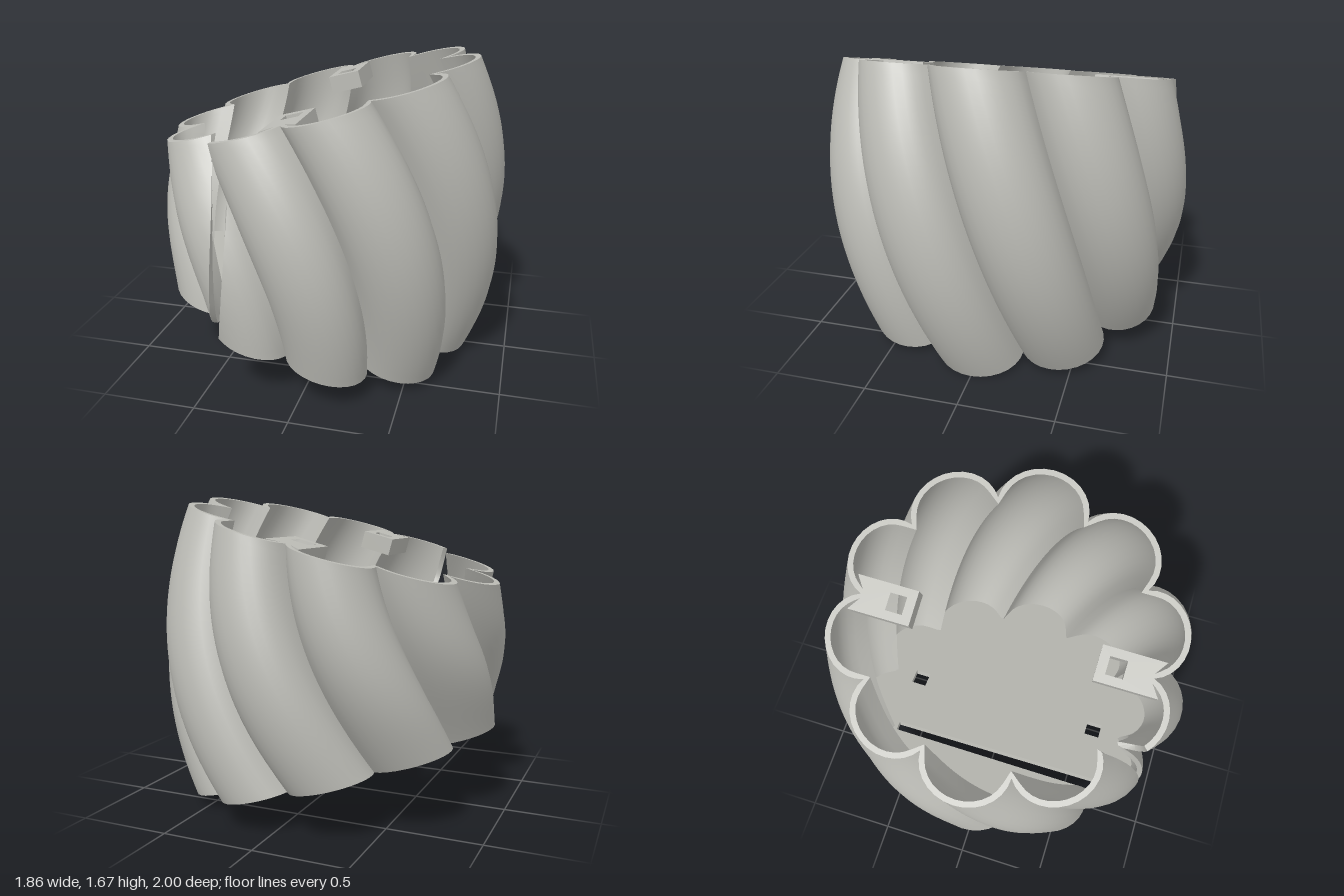
import * as THREE from 'three';
import { toCreasedNormals } from 'three/addons/utils/BufferGeometryUtils.js';

const R = 2.355;              // bend radius of the sweep, axis at x = -R
const Y0 = 0.836;             // height of the mid plane
const HALF = Math.PI / 12;    // half of the swept angle
const STEP = Math.PI / 5;     // ten flutes
const WALL = 0.03;
const SLOT = [-0.405, -0.347];

// Point (u, v) of the fluted section; s counts flutes, k runs -1 (bottom) to 1 (top)
function section(s, k, inset = 0) {
  const g = 1 + 0.088 * Math.cos(k * Math.PI / 2);
  const twist = STEP / 2 + STEP * (k - 1) / 2;
  const cusp = (i) => new THREE.Vector2(
    0.70 * g * Math.cos(i * STEP + twist), 0.765 * g * Math.sin(i * STEP + twist));
  const i = Math.floor(s + 1e-9), f = Math.max(0, s - i);
  const a = cusp(i), b = cusp(i + 1);
  const mid = a.clone().add(b).multiplyScalar(0.5);
  const h = b.clone().sub(a).multiplyScalar(0.5);
  const n = new THREE.Vector2(h.y, -h.x);
  const c = Math.cos(f * Math.PI), d = Math.sin(f * Math.PI);
  const p = mid.addScaledVector(h, -c).addScaledVector(n, 0.886 * d);
  if (inset > 0) {
    // follow the flute normal, turning radial beside the cusps
    const w = Math.min(1, Math.min(f, 1 - f) / 0.08);
    const radial = p.clone().normalize();
    const normal = h.normalize().multiplyScalar(-c).addScaledVector(n.normalize(), d);
    p.addScaledVector(radial, -1.2 * inset * (1 - w)).addScaledVector(normal, -inset * w);
  }
  return p;
}

// Flute positions where the slot opens the front of the wall
function slotEnds(k) {
  const shift = (1 - k) / 2;
  let end = null, start = 0;
  for (let s = 1.8 + shift; s < 4.2 + shift; s += 0.002) {
    const u = section(s, k).x;
    if (end === null && u < SLOT[1]) end = s;
    if (u > SLOT[0] - 0.015) start = s;
  }
  return [start, end + 10];
}

function sample(k, inset, perFlute) {
  const [lo, hi] = slotEnds(k), points = [];
  for (let i = 2 * perFlute; i <= 14 * perFlute; i++) {
    points.push(section(THREE.MathUtils.clamp(i / perFlute, lo, hi), k, inset));
  }
  return points;
}

// Twisted, bulging wall swept round the bend, open along the slot
function wallGeometry(perFlute = 14, levels = 32) {
  const rings = [];
  for (let j = 0; j <= levels; j++) {
    const k = 2 * j / levels - 1, a = k * HALF;
    const ring = [...sample(k, 0, perFlute), ...sample(k, WALL, perFlute).reverse()];
    rings.push(ring.map((p) => new THREE.Vector3(
      (R + p.x) * Math.cos(a) - R, Y0 + (R + p.x) * Math.sin(a), p.y)));
  }
  const pos = [];
  const tri = (a, b, c) => {
    if (a.distanceTo(b) < 1e-6 || b.distanceTo(c) < 1e-6 || c.distanceTo(a) < 1e-6) return;
    for (const p of [a, b, c]) pos.push(p.x, p.y, p.z);
  };
  const quad = (a, b, c, d) => { tri(a, b, c); tri(a, c, d); };
  const n = rings[0].length;
  for (let j = 0; j < levels; j++) {
    for (let i = 0; i < n; i++) {
      const m = (i + 1) % n;
      quad(rings[j][i], rings[j + 1][i], rings[j + 1][m], rings[j][m]);
    }
  }
  // flat rims at both ends
  const top = rings[levels], low = rings[0];
  for (let i = 0; i < n / 2 - 1; i++) {
    const o = n - 1 - i;
    quad(top[o], top[o - 1], top[i + 1], top[i]);
    quad(low[i], low[i + 1], low[o - 1], low[o]);
  }
  const geo = new THREE.BufferGeometry();
  geo.setAttribute('position', new THREE.Float32BufferAttribute(pos, 3));
  return toCreasedNormals(geo, 0.7);
}

// Flat slab lying in one of the tilted end planes, thickened inwards
function slab(shape, depth, side) {
  const a = side * HALF;
  const geo = new THREE.ExtrudeGeometry(shape, { depth, bevelEnabled: false });
  if (side < 0) geo.translate(0, 0, -depth);
  const m = new THREE.Matrix4().makeBasis(
    new THREE.Vector3(Math.cos(a), Math.sin(a), 0),
    new THREE.Vector3(0, 0, 1),
    new THREE.Vector3(Math.sin(a), -Math.cos(a), 0));
  m.setPosition(R * Math.cos(a) - R, Y0 + R * Math.sin(a), 0);
  return geo.applyMatrix4(m);
}

const polygon = (points) => points.map(([x, y]) => new THREE.Vector2(x, y));
const squareHole = (s) => new THREE.Path(polygon(
  [[-0.047, s * 0.53], [0.047, s * 0.53], [0.047, s * 0.62], [-0.047, s * 0.62]]));

export function createModel() {
  const group = new THREE.Group();
  const grey = new THREE.MeshStandardMaterial({ color: 0xbcbcb6 });
  grey.name = 'warm grey';
  const add = (name, geo) => {
    const mesh = new THREE.Mesh(geo, grey);
    mesh.name = name;
    group.add(mesh);
  };

  add('flutedWall', wallGeometry());

  // floor with the long slot and two square holes
  const outline = sample(-1, WALL * 0.6, 14)
    .filter((p, i, all) => i === 0 || p.distanceTo(all[i - 1]) > 1e-5);
  outline.push(...polygon([[SLOT[1], -0.585], [SLOT[0], -0.585]]));
  const floor = new THREE.Shape(outline);
  floor.holes.push(squareHole(1), squareHole(-1));
  add('floor', slab(floor, 0.04, -1));

  // mounting tabs at the front and back of the rim
  for (const s of [1, -1]) {
    const tab = new THREE.Shape(polygon([
      [-0.093, s * 0.48], [0.093, s * 0.48], [0.093, s * 0.81], [0, s * 0.745], [-0.093, s * 0.81]]));
    tab.holes.push(squareHole(s));
    add(s > 0 ? 'frontTab' : 'backTab', slab(tab, 0.1, 1));
  }
  return group;
}
